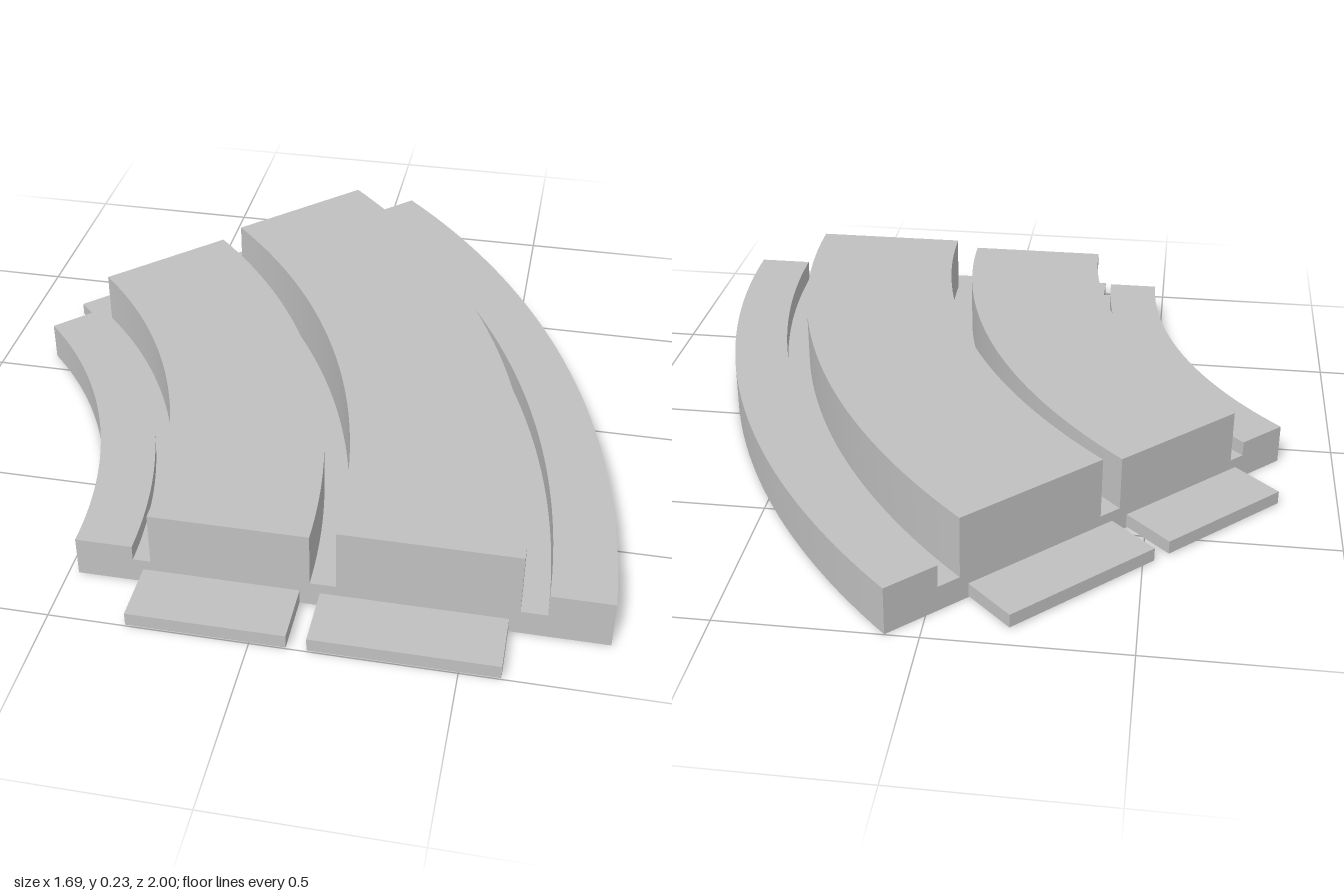
import * as THREE from 'three';
import { toCreasedNormals } from 'three/addons/utils/BufferGeometryUtils.js';

const ARC = Math.PI / 4;
const CENTRE = [-1.755, 0, 0.84]; // centre of the bend
const GROOVE = 0.068;

// Raised bands across the track: inner radius, outer radius, height
const BANDS = [
  [1.28, 1.425, 0.108], // inner kerb
  [1.47, 1.87, 0.213], // inner lane
  [1.935, 2.38, 0.235], // outer lane
  [2.445, 2.6, 0.129], // outer kerb
];

// Connector tabs: inner radius, outer radius
const TABS = [[1.45, 1.845], [1.895, 2.355]];
const TAB = { length: 0.16, bottom: 0.004, top: 0.04 };

// Closed cross-section (radius, height), anticlockwise
function crossSection() {
  const points = [new THREE.Vector2(1.28, 0), new THREE.Vector2(2.6, 0)];
  [...BANDS].reverse().forEach(([inner, outer, height], i) => {
    if (i > 0) points.push(new THREE.Vector2(outer, GROOVE));
    points.push(new THREE.Vector2(outer, height), new THREE.Vector2(inner, height));
    if (i < BANDS.length - 1) points.push(new THREE.Vector2(inner, GROOVE));
  });
  return points;
}

export function createModel() {
  const model = new THREE.Group();
  model.name = 'curvedTrack';
  const bend = new THREE.Group();
  bend.name = 'bend';
  bend.position.set(...CENTRE);
  model.add(bend);

  const grey = new THREE.MeshStandardMaterial({ color: 0xc0c0c0 });
  grey.name = 'grey';

  const add = (parent, geometry, name) => {
    const mesh = new THREE.Mesh(geometry, grey);
    mesh.name = name;
    parent.add(mesh);
    return mesh;
  };

  // Grooved body swept around the bend
  const profile = crossSection();
  const body = new THREE.LatheGeometry([...profile, profile[0].clone()], 48, Math.PI / 2, ARC);
  add(bend, toCreasedNormals(body, Math.PI / 6), 'trackBody');

  // The two ends, mirrored: flat end face and two connector tabs
  for (const [name, side, turn] of [['front', 1, 0], ['back', -1, Math.PI + ARC]]) {
    const end = new THREE.Group();
    end.name = `${name}End`;
    end.rotation.y = turn;
    bend.add(end);

    const outline = profile.map((p) => new THREE.Vector2(side * p.x, p.y));
    add(end, new THREE.ShapeGeometry(new THREE.Shape(outline)), `${name}EndFace`);

    TABS.forEach(([inner, outer], i) => {
      const box = new THREE.BoxGeometry(outer - inner, TAB.top - TAB.bottom, TAB.length);
      const tab = add(end, box, `${name}${i ? 'Outer' : 'Inner'}Tab`);
      tab.position.set((side * (inner + outer)) / 2, (TAB.top + TAB.bottom) / 2, TAB.length / 2);
    });
  }

  return model;
}
